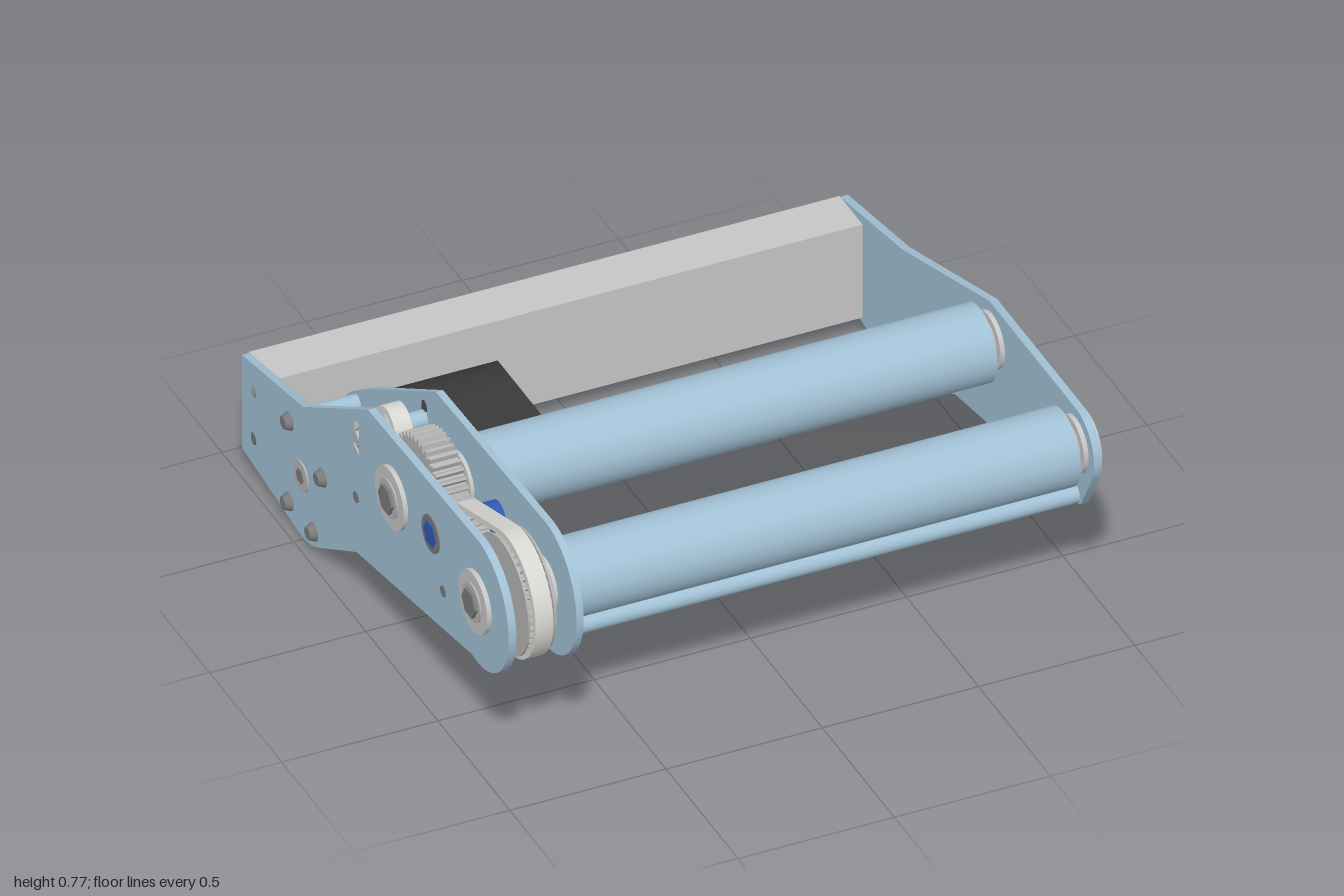
import * as THREE from 'three';
import { toCreasedNormals } from 'three/addons/utils/BufferGeometryUtils.js';

const mat = (name, color) => {
  const m = new THREE.MeshStandardMaterial({ color });
  m.name = name;
  return m;
};

export function createModel() {
  const root = new THREE.Group();
  root.name = 'rollerIntake';
  const blue = mat('pale blue metal', 0xa2c1d5);
  const grey = mat('beam grey', 0xc6c6c6);
  const steel = mat('bearing steel', 0xb4b4b4);
  const dark = mat('shaft grey', 0x7a7a7a);
  const black = mat('motor black', 0x383838);
  const orange = mat('orange spacer', 0xe88610);
  const royal = mat('royal blue', 0x3159b4);
  const rubber = mat('belt white', 0xd8d7d3);
  const brass = mat('brass', 0xb8822e);

  const add = (name, geo, material) => {
    const m = new THREE.Mesh(geo, material);
    m.name = name;
    root.add(m);
    return m;
  };
  // Cylinder along x between x0 and x1, centred on (z, y)
  const rod = (name, x0, x1, z, y, r, material, sides = 32, r2 = r) => {
    const g = new THREE.CylinderGeometry(r, r2, x1 - x0, sides);
    g.rotateZ(-Math.PI / 2).translate((x0 + x1) / 2, y, z);
    return add(name, sides < 8 ? toCreasedNormals(g, 0.5) : g, material);
  };
  // Side profiles are drawn in (z, y) and extruded along x
  const pts = (list) => list.map(([z, y]) => new THREE.Vector2(-z, y));
  const extrude = (shape, x0, x1) => {
    const g = new THREE.ExtrudeGeometry(shape, { depth: x1 - x0, bevelEnabled: false });
    g.rotateY(Math.PI / 2).translate(x0, 0, 0);
    return toCreasedNormals(g, 0.5);
  };
  const arc = (z, y, r, a0, a1, n) => Array.from({ length: n + 1 }, (_, i) => {
    const a = a0 + (a1 - a0) * i / n;
    return [z + r * Math.cos(a), y + r * Math.sin(a)];
  });
  const hole = (z, y, r) => new THREE.Path(pts(arc(z, y, r, 0, Math.PI * 1.9, 19)));
  const slot = (z, y0, y1, r) =>
    new THREE.Path(pts([...arc(z, y1, r, 0, Math.PI, 12), ...arc(z, y0, r, Math.PI, 2 * Math.PI, 12)]));
  const plate = (name, x0, x1, outline, holes) => {
    const s = new THREE.Shape(pts(outline));
    s.holes.push(...holes);
    return add(name, extrude(s, x0, x1), blue);
  };

  // Side plates
  const FRONT = 0.71, MID = 0.13, AXLE = 0.55;
  const nose = arc(FRONT, AXLE, 0.217, -1.75, 1.53, 32);
  const belly = [[-0.54, 0.008], [-0.49, 0.006], [-0.44, 0.016], [-0.4, 0.034], [-0.13, 0.19]];
  const tail = [[-0.5, 0.47], [-0.925, 0.385], [-0.925, 0.055]];
  const beamHoles = () => [0.138, 0.305].map((y) => hole(-0.845, y, 0.02));
  plate('outerSidePlate', -0.97, -0.945, [...nose, [-0.05, 0.745], ...tail, ...belly],
    [...beamHoles(), slot(-0.13, 0.55, 0.645, 0.018)]);
  plate('innerSidePlate', -0.753, -0.73,
    [...nose, [-0.05, 0.745], [-0.5, 0.47], ...arc(-0.51, 0.213, 0.205, 2.2, 4.5, 20), ...belly],
    [slot(-0.13, 0.55, 0.645, 0.018)]);
  plate('rightSidePlate', 0.945, 0.97,
    [...arc(0.725, 0.37, 0.025, -1.75, -0.5, 6), ...arc(0.715, AXLE, 0.122, -0.5, 1.57, 16),
      [0.11, 0.672], ...tail, ...belly], beamHoles());

  // Hollow rear beam
  const beam = new THREE.Shape(pts([[-0.93, 0.055], [-0.77, 0.055], [-0.77, 0.385], [-0.93, 0.385]]));
  beam.holes.push(new THREE.Path(pts([[-0.915, 0.07], [-0.785, 0.07], [-0.785, 0.37], [-0.915, 0.37]])));
  add('rearBeam', extrude(beam, -0.945, 0.945), grey);

  // Rollers with hex shafts, bearings and spacers
  for (const z of [FRONT, MID]) {
    rod('roller', -0.71, 0.905, z, AXLE, 0.122, blue, 48);
    rod('hexShaft', -1, 1, z, AXLE, 0.047, dark, 6);
    for (const [a, b, r] of [[-0.985, -0.97, 0.1], [-0.945, -0.935, 0.09], [-0.765, -0.753, 0.09],
      [-0.73, -0.716, 0.1], [0.93, 0.945, 0.09], [0.97, 0.983, 0.1]]) rod('bearingFlange', a, b, z, AXLE, r, grey);
    rod('rollerCollar', 0.905, 0.93, z, AXLE, 0.065, steel);
    for (const x of [-0.99, 0.983]) rod('bearingHub', x, x + 0.007, z, AXLE, 0.062, steel);
    rod('orangeSpacer', -0.935, -0.893, z, AXLE, 0.061, orange);
    rod('steelSpacer', -0.802, -0.765, z, AXLE, 0.061, steel);
  }

  // Toothed pulleys
  const pulley = (name, z, y, r, teeth, depth) => {
    const ring = [];
    for (let i = 0; i < teeth; i++) {
      [[0, 0], [0.3, 0], [0.5, 1], [0.8, 1]].forEach(([f, d]) => {
        const a = (i + f) / teeth * Math.PI * 2;
        const q = r - d * depth;
        ring.push([z + q * Math.cos(a), y + q * Math.sin(a)]);
      });
    }
    add(name, extrude(new THREE.Shape(pts(ring)), -0.893, -0.802), steel);
  };
  pulley('frontPulley', FRONT, AXLE, 0.178, 40, 0.014);
  pulley('middlePulley', MID, AXLE, 0.178, 40, 0.016);
  pulley('idlerPulley', 0.39, 0.585, 0.05, 14, 0.01);
  pulley('motorPulley', -0.51, 0.22, 0.055, 14, 0.01);
  rod('tensionerWheel', -0.885, -0.81, -0.13, 0.6, 0.05, steel);
  for (const x of [-0.893, -0.809]) {
    rod('pulleyFlange', x, x + 0.007, FRONT, AXLE, 0.187, steel, 48);
    rod('motorPulleyFlange', x, x + 0.007, -0.51, 0.22, 0.07, steel);
  }

  // Serpentine belt: [u = -z, y, radius, turning direction], joined by tangents
  const route = [[-FRONT, AXLE, 0.19, 1], [0.51, 0.22, 0.065, 1], [0.13, 0.6, 0.06, 1],
    [-MID, AXLE, 0.19, -1], [-0.39, 0.585, 0.06, 1]];
  const beltLoop = (offset) => {
    const c = route.map(([u, y, r, s]) => ({ u, y, s, q: s * r + offset }));
    const n = c.length;
    const heading = c.map((a, i) => {
      const b = c[(i + 1) % n], du = b.u - a.u, dy = b.y - a.y;
      return Math.atan2(dy, du) - Math.asin((b.q - a.q) / Math.hypot(du, dy));
    });
    const out = [];
    c.forEach((a, i) => {
      const t0 = heading[(i + n - 1) % n];
      const turn = Math.PI * 2;
      const swing = a.s * ((((heading[i] - t0) * a.s) % turn + turn) % turn);
      for (let k = 0; k <= 24; k++) {
        const t = t0 + swing * k / 24;
        out.push(new THREE.Vector2(a.u + a.q * Math.sin(t), a.y - a.q * Math.cos(t)));
      }
    });
    return out;
  };
  const belt = new THREE.Shape(beltLoop(0.01));
  belt.holes.push(new THREE.Path(beltLoop(-0.01)));
  add('driveBelt', extrude(belt, -0.876, -0.819), rubber);

  // Idler, motor and tensioner shafts
  rod('idlerSpacer', -0.945, -0.893, 0.39, 0.585, 0.05, royal);
  rod('idlerSpacer', -0.802, -0.753, 0.39, 0.585, 0.05, royal);
  for (const [a, b] of [[-0.974, -0.97], [-0.73, -0.726]]) {
    rod('idlerBearing', a, b, 0.39, 0.585, 0.06, dark);
    rod('idlerCore', a - 0.003, b + 0.003, 0.39, 0.585, 0.042, royal, 6);
  }
  rod('motorShaft', -0.978, -0.735, -0.51, 0.22, 0.025, dark, 6);
  rod('motorBearing', -0.975, -0.97, -0.51, 0.22, 0.05, steel);
  rod('motorSpacer', -0.945, -0.893, -0.51, 0.22, 0.042, orange);
  rod('motorCollar', -0.802, -0.765, -0.51, 0.22, 0.042, dark);
  rod('tensionerBolt', -0.975, -0.73, -0.13, 0.6, 0.017, steel);
  rod('tensionerSpacer', -0.945, -0.9, -0.13, 0.6, 0.034, orange);
  rod('tensionerStandoff', -0.81, -0.753, -0.13, 0.6, 0.028, blue);
  rod('tensionerHead', -0.73, -0.715, -0.13, 0.6, 0.03, steel, 24, 0.022);

  // Standoffs between the two left plates
  for (const [z, y] of [[-0.595, 0.36], [-0.365, 0.305], [-0.595, 0.075], [-0.425, 0.075], [0.475, 0.435], [-0.13, 0.385]]) {
    rod('standoff', -0.945, -0.753, z, y, 0.028, blue, 24);
    if (z < -0.2) rod('boltHead', -0.992, -0.97, z, y, 0.03, dark, 24, 0.02);
    else {
      rod('boltHead', -0.73, -0.714, z, y, 0.02, dark, 24, 0.03);
      rod('boltEnd', -0.973, -0.97, z, y, 0.018, dark, 24);
    }
  }
  // Front cross tie
  rod('crossTie', -0.73, 0.945, FRONT, 0.373, 0.03, blue, 24);
  rod('crossTieScrew', 0.97, 0.973, 0.715, 0.373, 0.016, steel, 24);

  // Motor: round body cut into bands so that its end steps and slopes
  const MZ = -0.51, MY = 0.205, MR = 0.19;
  const LOW = Math.asin((0.17 - MY) / MR), HIGH = Math.asin((0.29 - MY) / MR);
  const band = (a, b) =>
    new THREE.Shape(pts([...arc(MZ, MY, MR, a, b, 16), ...arc(MZ, MY, MR, Math.PI - b, Math.PI - a, 16)]));
  add('motorBody', extrude(band(-1.55, LOW), -0.73, -0.32), black);
  add('motorEnd', extrude(band(LOW, HIGH), -0.73, -0.25), black);
  const cap = extrude(band(HIGH, 1.55), -0.73, -0.25);
  const p = cap.attributes.position;
  for (let i = 0; i < p.count; i++) if (p.getX(i) > -0.3) p.setX(i, -0.25 - (p.getY(i) - 0.29) * 0.6);
  add('motorSlope', toCreasedNormals(cap, 0.5), black);
  rod('motorRim', -0.73, -0.7, MZ, MY, 0.205, black, 48);
  // Terminals in the step of the motor end
  for (const z of [-0.56, -0.46]) for (const y of [0.08, 0.13]) rod('terminal', -0.32, -0.313, z, y, 0.018, grey, 20);
  const block = add('terminalBlock', new THREE.BoxGeometry(0.06, 0.02, 0.05), brass);
  block.position.set(-0.29, 0.162, -0.4);

  return root;
}
